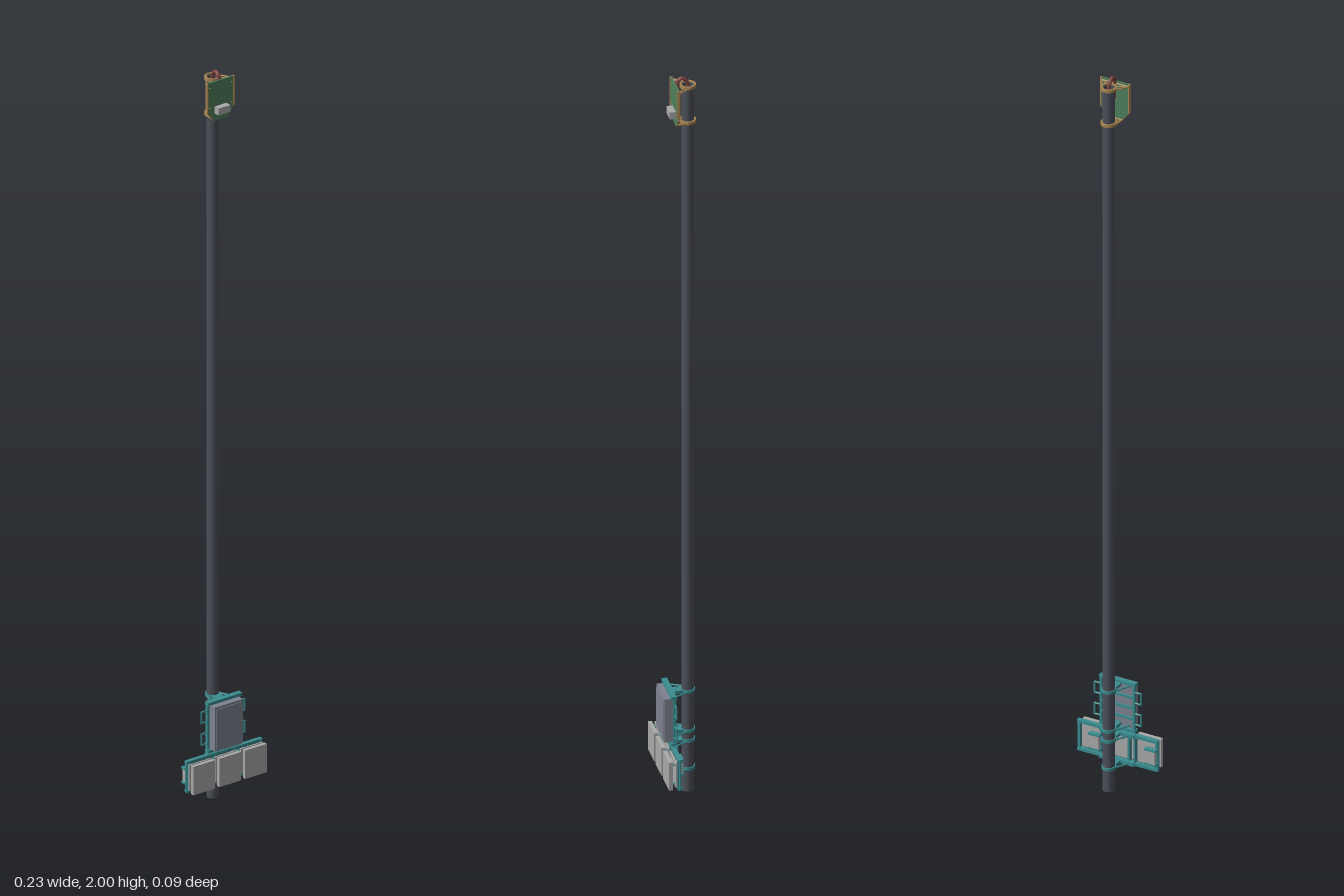
import * as THREE from 'three';

const POLE_Z = -0.028;
const mat = (color) => new THREE.MeshStandardMaterial({ color, side: THREE.DoubleSide });
const M = {
  pole: mat(0x4c5059), box: mat(0x7c828f), panel: mat(0xa9a9a9), teal: mat(0x3a8c90),
  green: mat(0x4f7f5c), tan: mat(0xa68552), red: mat(0x7d4440),
};

export function createModel() {
  const root = new THREE.Group();
  let target = root;

  const section = (name) => {
    target = new THREE.Group();
    target.name = name;
    root.add(target);
  };
  const add = (name, geometry, material, x = 0, y = 0, z = 0) => {
    const mesh = new THREE.Mesh(geometry, material);
    mesh.name = name;
    mesh.position.set(x, y, z);
    target.add(mesh);
    return mesh;
  };
  // Box given by its limits on each axis
  const box = (name, material, x0, x1, y0, y1, z0, z1) =>
    add(name, new THREE.BoxGeometry(x1 - x0, y1 - y0, z1 - z0), material,
      (x0 + x1) / 2, (y0 + y1) / 2, (z0 + z1) / 2);
  // Straight rod between two points
  const rod = (name, material, a, b, r) => {
    const p = new THREE.Vector3(...a), q = new THREE.Vector3(...b);
    const d = q.clone().sub(p);
    const mesh = add(name, new THREE.CylinderGeometry(r, r, d.length(), 8), material);
    mesh.position.copy(p.add(q).multiplyScalar(0.5));
    mesh.quaternion.setFromUnitVectors(new THREE.Vector3(0, 1, 0), d.normalize());
    return mesh;
  };
  // Hollow upright cylinder
  const tube = (name, material, rIn, rOut, y0, y1) => {
    const pts = [[rIn, y0], [rOut, y0], [rOut, y1], [rIn, y1], [rIn, y0]];
    // each wall is separate so that the rims stay sharp
    for (let i = 0; i < 4; i++) {
      const wall = [pts[i], pts[i + 1]].map((p) => new THREE.Vector2(...p));
      add(name, new THREE.LatheGeometry(wall, 32), material, 0, 0, POLE_Z);
    }
  };

  section('pole');
  tube('poleTube', M.pole, 0.0125, 0.0155, 0, 1.975);

  // Circuit board hung at the head of the pole
  section('headUnit');
  const outline = new THREE.Shape([[-0.04, 1.9], [-0.018, 1.872], [0.018, 1.872], [0.04, 1.9],
    [0.04, 1.98], [-0.04, 1.98]].map((p) => new THREE.Vector2(...p)));
  add('board', new THREE.ExtrudeGeometry(outline, { depth: 0.004, bevelEnabled: false }),
    M.green, 0, 0, 0.002);
  box('connector', M.panel, -0.018, 0.018, 1.893, 1.912, 0.006, 0.022);
  for (const s of [-1, 1]) {
    box('boardEdge', M.tan, s * 0.04 - 0.002, s * 0.04 + 0.002, 1.9, 1.98, 0, 0.008);
    rod('lowerEdge', M.tan, [s * 0.04, 1.9, 0.004], [s * 0.018, 1.872, 0.004], 0.002);
    for (const y of [1.91, 1.965])
      add('screw', new THREE.CylinderGeometry(0.002, 0.002, 0.003, 8), M.tan, s * 0.033, y, 0.007)
        .rotation.x = Math.PI / 2;
  }
  for (const [y, w] of [[1.974, 0.04], [1.876, 0.021]]) {
    tube('headClamp', M.tan, 0.0155, 0.0205, y - 0.004, y + 0.004);
    for (const s of [-1, 1]) {
      rod('outerStrut', M.tan, [s * 0.019, y, POLE_Z], [s * w, y, 0.002], 0.0022);
      rod('innerStrut', M.tan, [s * 0.013, y, POLE_Z + 0.015], [s * w, y, 0.002], 0.0018);
    }
    rod('crossBar', M.tan, [-w, y, 0.001], [w, y, 0.001], 0.0022);
  }
  // Cable arching from the pole mouth to the board
  const cable = new THREE.CatmullRomCurve3([[1.945, -0.028], [1.975, -0.028], [1.99, -0.022],
    [1.995, -0.012], [1.988, -0.003], [1.97, -0.001], [1.935, -0.002]]
    .map(([y, z]) => new THREE.Vector3(0, y, z)));
  add('cable', new THREE.TubeGeometry(cable, 32, 0.005, 10), M.red);

  // Control cabinet with its frame and side loops
  section('cabinet');
  box('cabinetBody', M.box, -0.043, 0.043, 0.16, 0.281, 0.018, 0.041);
  box('cabinetDoor', M.box, -0.038, 0.038, 0.166, 0.275, 0.041, 0.043);
  for (const y of [0.156, 0.286])
    box('frameRail', M.teal, -0.052, 0.052, y - 0.004, y + 0.004, 0.012, 0.026);
  for (const s of [-1, 1]) {
    box('frameUpright', M.teal, s * 0.047 - 0.003, s * 0.047 + 0.003, 0.155, 0.287, 0.012, 0.02);
    for (const y of [0.19, 0.25]) {
      for (const dy of [-0.015, 0.015])
        rod('loopArm', M.teal, [s * 0.047, y + dy, 0.016], [s * 0.066, y + dy, 0.016], 0.0025);
      rod('loopBar', M.teal, [s * 0.066, y - 0.0165, 0.016], [s * 0.066, y + 0.0165, 0.016], 0.0025);
    }
  }
  for (const y of [0.19, 0.22, 0.25])
    box('backSlat', M.teal, -0.046, 0.046, y - 0.003, y + 0.003, 0.012, 0.017);

  // Row of three modules carried on two rails
  section('moduleRow');
  for (const y of [0.064, 0.142]) {
    box('rail', M.teal, -0.115, 0.115, y - 0.004, y + 0.004, 0.013, 0.024);
    box('railCentre', M.teal, -0.05, 0.05, y - 0.005, y + 0.005, 0.008, 0.022);
  }
  for (const x of [-0.079, 0, 0.079]) {
    box('modulePanel', M.panel, x - 0.033, x + 0.033, 0.062, 0.14, 0.036, 0.046);
    box('moduleBack', M.panel, x - 0.033, x + 0.033, 0.068, 0.138, 0.025, 0.029);
    for (const s of [-1, 1]) {
      box('moduleUpright', M.teal, x + s * 0.031 - 0.0025, x + s * 0.031 + 0.0025,
        0.062, 0.144, 0.015, 0.025);
      for (const y of [0.076, 0.128])
        add('spacer', new THREE.CylinderGeometry(0.003, 0.003, 0.008, 8), M.teal,
          x + s * 0.024, y, 0.0325).rotation.x = Math.PI / 2;
    }
  }
  for (const x of [-0.1, 0.06]) {
    box('junctionBox', M.panel, x - 0.013, x + 0.013, 0.085, 0.12, 0.001, 0.013);
    box('junctionFrame', M.teal, x - 0.016, x + 0.016, 0.08, 0.085, 0, 0.014);
    box('junctionFrame', M.teal, x - 0.016, x + 0.016, 0.12, 0.125, 0, 0.014);
  }
  for (const s of [-1, 1])
    rod('railEnd', M.teal, [s * 0.114, 0.062, 0.019], [s * 0.114, 0.144, 0.019], 0.003);

  // Clamps that tie both frames to the pole
  section('poleClamps');
  for (const y of [0.064, 0.142, 0.17, 0.28]) {
    tube('clampRing', M.teal, 0.0155, 0.0185, y - 0.004, y + 0.004);
    for (const s of [-1, 1])
      rod('clampArm', M.teal, [s * 0.017, y, POLE_Z + 0.004], [s * 0.036, y, 0.014], 0.0025);
    box('clampBlock', M.teal, -0.012, 0.012, y - 0.004, y + 0.004, -0.014, 0.014);
  }
  return root;
}
